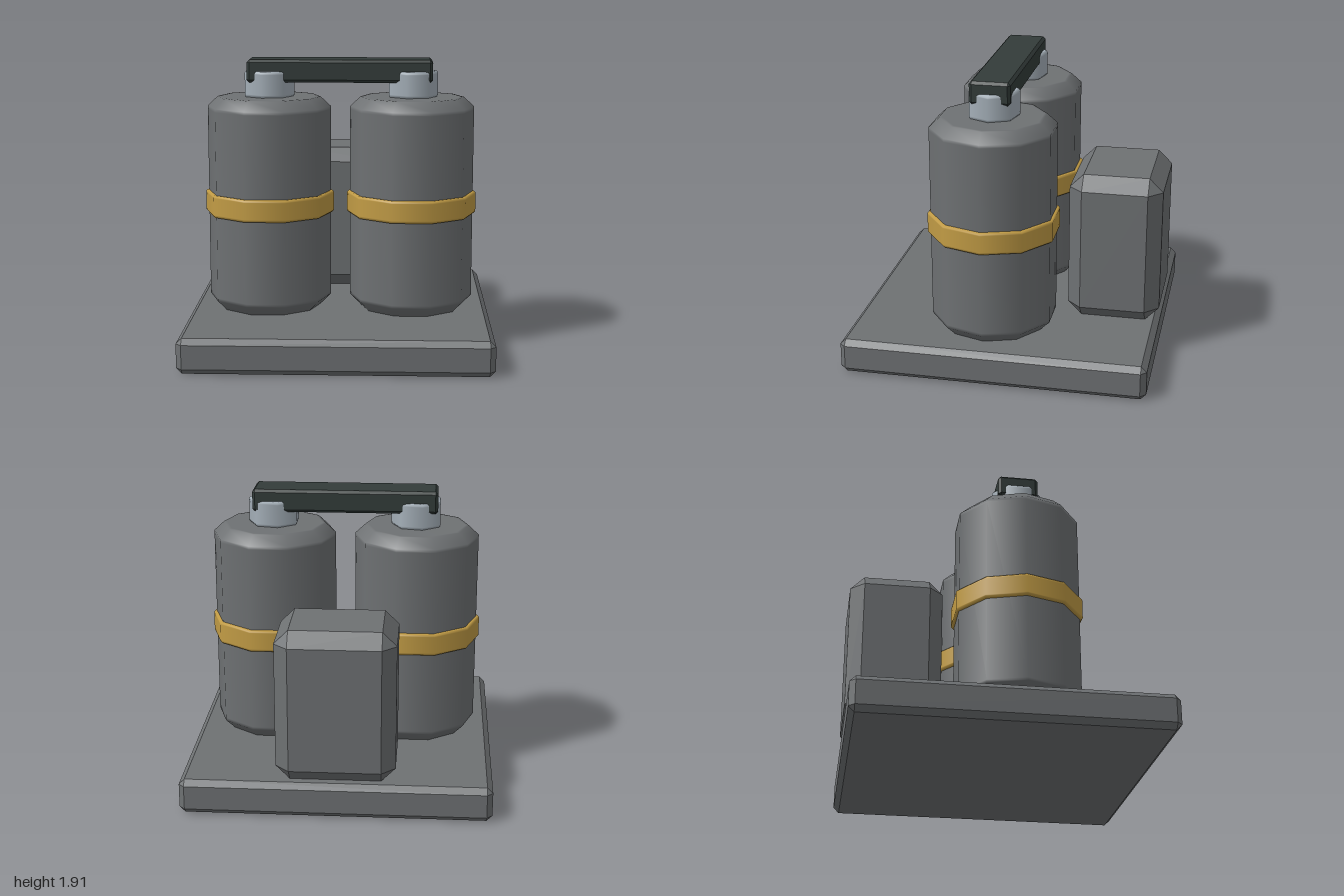
import * as THREE from 'three';
import { ConvexGeometry } from 'three/addons/geometries/ConvexGeometry.js';

const paint = (name, color) => {
  const m = new THREE.MeshStandardMaterial({ color });
  m.name = name;
  return m;
};

// Box with flat chamfers on every edge and corner, given by its min and max corners
function chamferBox(min, max, c) {
  const half = min.map((v, i) => (max[i] - v) / 2);
  const mid = min.map((v, i) => (max[i] + v) / 2);
  const pts = [];
  for (const sx of [-1, 1]) for (const sy of [-1, 1]) for (const sz of [-1, 1]) {
    for (let axis = 0; axis < 3; axis++) {
      const p = [sx, sy, sz].map((s, i) => mid[i] + s * (half[i] - (i === axis ? 0 : c)));
      pts.push(new THREE.Vector3(...p));
    }
  }
  return new ConvexGeometry(pts);
}

// Turned part with one corner pointing along +x
function turned(profile, sides) {
  const pts = profile.map(([r, y]) => new THREE.Vector2(r, y));
  return new THREE.LatheGeometry(pts, sides, Math.PI / 2);
}

export function createModel() {
  const grey = paint('steel grey', 0x6e7173);
  const gold = paint('band gold', 0xc29c45);
  const silver = paint('cap silver', 0xa6b1ba);
  const dark = paint('handle dark green grey', 0x333c3a);

  const model = new THREE.Group();
  model.name = 'twinTankUnit';
  const add = (parent, name, geometry, material) => {
    const mesh = new THREE.Mesh(geometry, material);
    mesh.name = name;
    parent.add(mesh);
  };

  // Base slab and the control box at the back
  add(model, 'base', chamferBox([-1, 0, -1], [1, 0.23, 1], 0.037), grey);
  add(model, 'rearBox', chamferBox([-0.383, 0.23, -1], [0.383, 1.232, -0.388], 0.091), grey);

  // Tank body with bevelled shoulders, ten sides
  const body = turned([
    [0, 0.23], [0.325, 0.23], [0.345, 0.232], [0.413, 0.3], [0.413, 0.32],
    [0.413, 1.57], [0.413, 1.592], [0.345, 1.655], [0.325, 1.657], [0, 1.657],
  ], 10);
  // Band around the middle
  const band = turned([
    [0.40, 0.872], [0.424, 0.872], [0.433, 0.882], [0.433, 0.89],
    [0.433, 1.002], [0.433, 1.01], [0.424, 1.02], [0.40, 1.02],
  ], 10);
  // Seven-sided valve cap
  const cap = turned([
    [0, 1.655], [0.155, 1.655], [0.163, 1.657], [0.171, 1.667], [0.171, 1.675],
    [0.171, 1.81], [0.171, 1.818], [0.163, 1.829], [0.155, 1.83], [0, 1.83],
  ], 7);

  for (const [name, x] of [['leftTank', 0.478], ['rightTank', -0.478]]) {
    const tank = new THREE.Group();
    tank.name = name;
    tank.position.set(x, 0, 0.077);
    add(tank, 'tankBody', body, grey);
    add(tank, 'tankBand', band, gold);
    add(tank, 'valveCap', cap, silver);
    model.add(tank);
  }

  // Bar joining the two caps
  add(model, 'topBar', chamferBox([-0.616, 1.757, -0.059], [0.612, 1.907, 0.207], 0.018), dark);
  return model;
}
